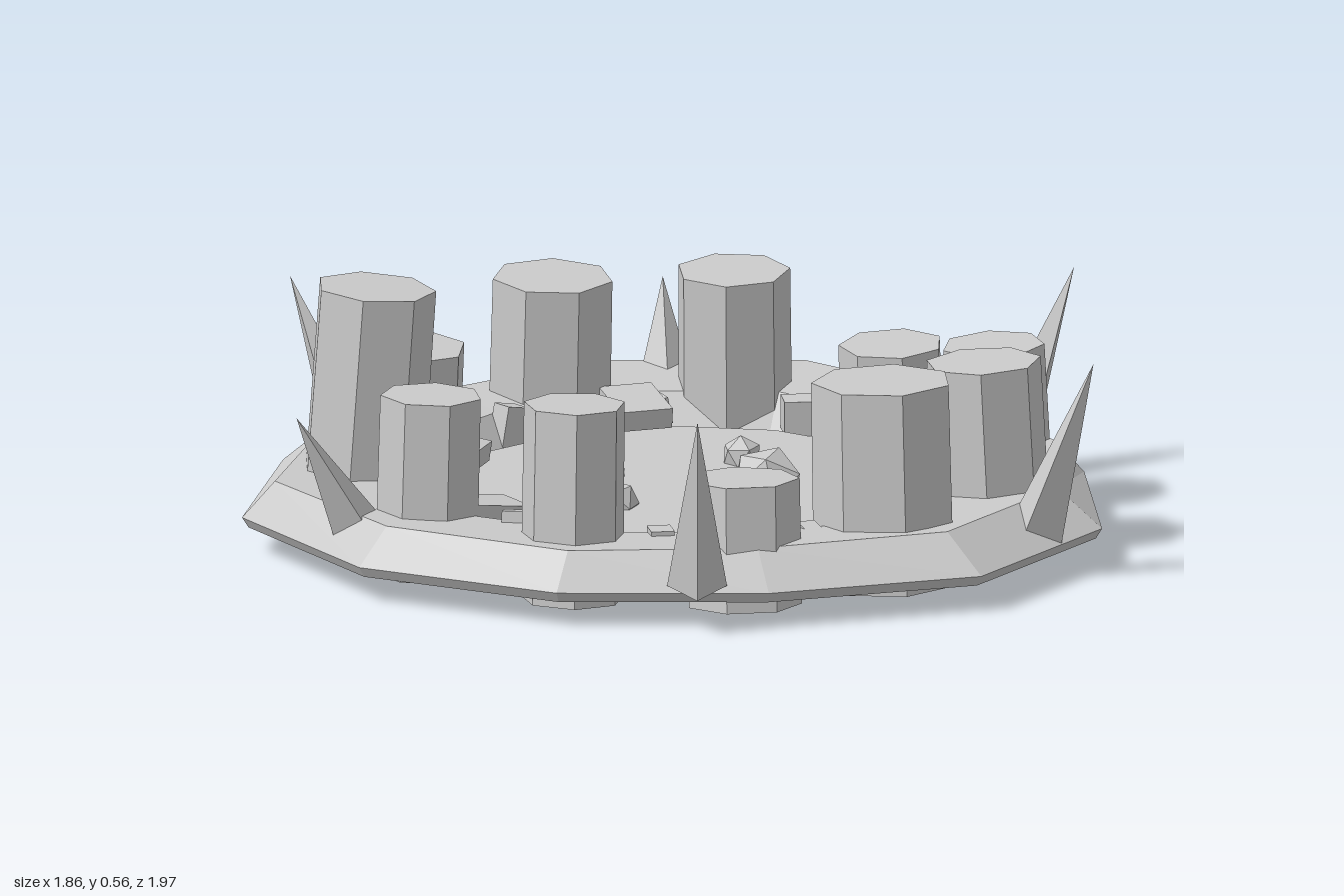
import * as THREE from 'three';

const material = new THREE.MeshStandardMaterial({ color: 0xcccccc, flatShading: true });

// Adds a mesh to a pivot whose local +x points outward at the given angle (degrees)
function addRadial(parent, name, geometry, degrees, radius, y, lean = 0, spin = 0) {
  const pivot = new THREE.Group();
  pivot.name = name;
  pivot.rotation.y = -THREE.MathUtils.degToRad(degrees);
  const mesh = new THREE.Mesh(geometry, material);
  mesh.name = name;
  mesh.position.set(radius, y, 0);
  mesh.rotation.set(0, spin, lean);
  pivot.add(mesh);
  parent.add(pivot);
  return mesh;
}

// Closed faceted ring through matching loops of [x, y, z] points
function ringGeometry(loops) {
  const positions = [];
  const n = loops[0].length;
  for (let j = 0; j < loops.length; j++) {
    const lower = loops[j], upper = loops[(j + 1) % loops.length];
    for (let i = 0; i < n; i++) {
      const k = (i + 1) % n;
      positions.push(...lower[i], ...upper[i], ...upper[k], ...lower[i], ...upper[k], ...lower[k]);
    }
  }
  const geometry = new THREE.BufferGeometry();
  geometry.setAttribute('position', new THREE.Float32BufferAttribute(positions, 3));
  geometry.computeVertexNormals();
  return geometry;
}

export function createModel() {
  const model = new THREE.Group();
  model.name = 'stoneCircle';

  // Irregular twelve-sided ring with sloping rims
  const outer = [[0.93, 0], [0.73, 0.44], [0.42, 0.78], [-0.03, 0.95], [-0.52, 0.85], [-0.83, 0.45],
    [-0.93, 0], [-0.85, -0.48], [-0.52, -0.83], [-0.03, -0.91], [0.41, -0.77], [0.8, -0.47]];
  const crest = [[0.82, 0], [0.65, 0.4], [0.39, 0.72], [-0.03, 0.87], [-0.48, 0.79], [-0.74, 0.42],
    [-0.82, 0], [-0.79, -0.42], [-0.48, -0.76], [-0.03, -0.81], [0.39, -0.7], [0.7, -0.43]];
  const loop = (points, scale, y) => points.map(([x, z]) => [x * scale, y, z * scale]);
  const ring = new THREE.Mesh(ringGeometry([
    loop(outer, 0.985, 0.06), loop(outer, 1, 0.083), loop(crest, 1, 0.162),
    loop(outer, 0.68, 0.15), loop(outer, 0.61, 0.065),
  ]), material);
  ring.name = 'groundRing';
  model.add(ring);

  // Sunken floor, separated from the ring by a narrow gap
  const floor = new THREE.Mesh(new THREE.CylinderGeometry(0.52, 0.52, 0.035, 14), material);
  floor.name = 'floorDisc';
  floor.position.set(-0.03, 0.082, 0);
  model.add(floor);

  // Eleven standing columns: [distance, width radius, top height, inward lean]
  const columns = [
    [0.61, 0.155, 0.46, 0.03], [0.645, 0.125, 0.29, 0.06], [0.65, 0.112, 0.445, 0.03],
    [0.685, 0.112, 0.41, 0.03], [0.69, 0.132, 0.555, 0.07], [0.735, 0.137, 0.32, 0.05],
    [0.705, 0.133, 0.41, 0.05], [0.695, 0.125, 0.41, 0.05], [0.67, 0.115, 0.29, 0.05],
    [0.68, 0.113, 0.37, 0.05], [0.65, 0.127, 0.43, 0.05],
  ];
  const step = 360 / columns.length;
  columns.forEach(([distance, radius, top, lean], i) => {
    const base = 0.013;
    const geometry = new THREE.CylinderGeometry(radius, radius * 1.02, top - base, 7);
    geometry.rotateY(-Math.PI / 2);
    // Offset so the top face lands at the given distance
    const middle = distance + Math.sin(lean) * (top - base) / 2;
    addRadial(model, 'standingColumn', geometry, i * step, middle, (top + base) / 2, lean);
  });

  // Six sharp spikes splayed outward: [angle, tip height, tip distance]
  const spikes = [[-82, 0.45, 0.995], [-20.6, 0.495, 0.975], [41.6, 0.495, 0.95],
    [101.5, 0.39, 1.0], [160, 0.455, 0.99], [218, 0.33, 0.945]];
  for (const [angle, tip, reach] of spikes) {
    const baseRadius = 0.835, baseY = 0.1;
    const rise = tip - baseY, run = reach - baseRadius;
    const geometry = new THREE.ConeGeometry(0.065, Math.hypot(rise, run), 4);
    addRadial(model, 'spike', geometry, angle, baseRadius + run / 2, baseY + rise / 2, -Math.atan2(run, rise));
  }

  // Six tilted slabs bridging the gap
  [-92, -30, 30, 95, 151, 209].forEach((angle, i) => {
    const geometry = new THREE.BoxGeometry(0.15, 0.045, 0.12);
    addRadial(model, 'bridgeSlab', geometry, angle, i === 1 || i === 2 ? 0.5 : 0.56, 0.14, 0.15, 0.1 * (i % 3 - 1));
  });

  // Small rubble blocks between the columns
  for (let i = 0; i < columns.length; i++) {
    const size = 0.045 + 0.012 * ((i * 5) % 4);
    const geometry = new THREE.BoxGeometry(size, 0.06 + 0.015 * (i % 3), size * 0.9);
    addRadial(model, 'rubbleBlock', geometry, (i + 0.5) * step, 0.575 + 0.012 * (i % 3), 0.125, 0.2 * (i % 3 - 1), 0.3 * i);
  }

  // Faceted stones half sunk in the floor: [x, y, z, radius]
  const stones = [[0.125, 0.12, -0.1, 0.082], [-0.225, 0.11, 0.07, 0.065],
    [-0.1, 0.115, -0.23, 0.045], [-0.005, 0.11, 0.22, 0.05]];
  stones.forEach(([x, y, z, radius], i) => {
    const stone = new THREE.Mesh(new THREE.IcosahedronGeometry(radius, 0), material);
    stone.name = 'floorStone';
    stone.position.set(x, y, z);
    stone.rotation.set(0.5, i * 0.8, 0.1);
    model.add(stone);
  });

  return model;
}
